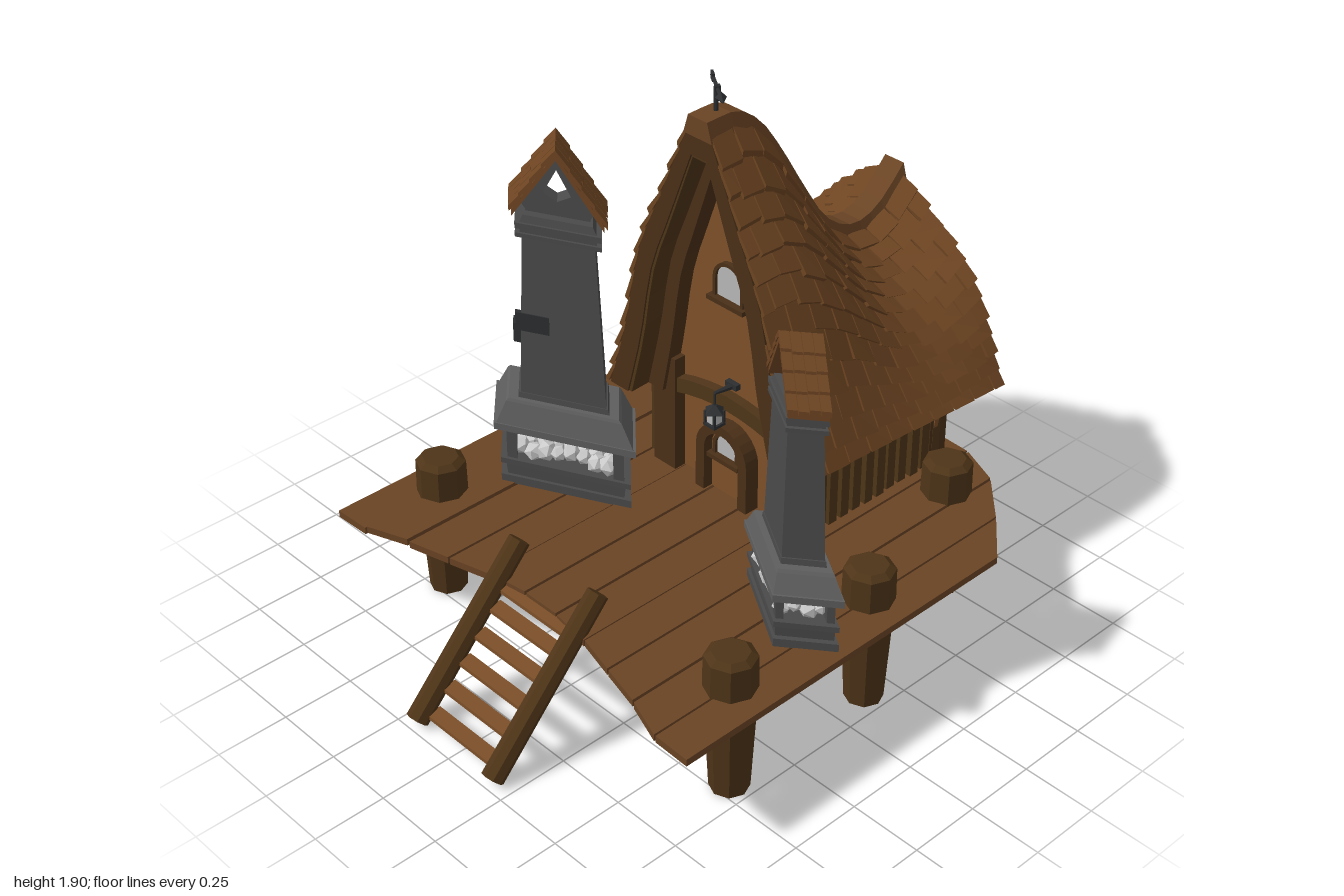
import * as THREE from 'three';
import { mergeGeometries } from 'three/addons/utils/BufferGeometryUtils.js';

const C = { deck: 0x6a4424, post: 0x4e3418, trim: 0x4a3018, wall: 0x7d5029, tile: 0x6e4522, stone: 0x4a4a4a, hood: 0x5e5e5e, iron: 0x2c2e30, glass: 0xb8b8b8 };
let seed = 7;
const rnd = () => (seed = (seed * 16807) % 2147483647) / 2147483647;
const lerp = THREE.MathUtils.lerp;
const V = (x, y, z) => new THREE.Vector3(x, y, z);

function add(parent, name, geo, color) {
  const g = Array.isArray(geo) ? mergeGeometries(geo.map(a => a.index ? a.toNonIndexed() : a)) : geo;
  const mat = new THREE.MeshStandardMaterial({ color, flatShading: true });
  const m = new THREE.Mesh(g, mat);
  m.name = name;
  parent.add(m);
  return m;
}

// solid from a bottom quad and a top quad, turned outward automatically
function hex(c) {
  const e = i => c[i].clone().sub(c[0]);
  if (e(1).cross(e(3)).dot(e(4)) < 0) c = [...c.slice(4), ...c.slice(0, 4)];
  const pos = [];
  for (const [a, b, d, f] of [[0, 3, 2, 1], [4, 5, 6, 7], [0, 1, 5, 4], [1, 2, 6, 5], [2, 3, 7, 6], [3, 0, 4, 7]])
    for (const i of [a, b, d, a, d, f]) pos.push(...c[i].toArray());
  const g = new THREE.BufferGeometry();
  g.setAttribute('position', new THREE.Float32BufferAttribute(pos, 3));
  g.setAttribute('uv', new THREE.Float32BufferAttribute(new Array(72).fill(0), 2));
  g.computeVertexNormals();
  return g;
}
const box = (w, h, d, x, y, z) => new THREE.BoxGeometry(w, h, d).translate(x, y, z);
function rod(a, b, r0, r1, n = 8) {
  const d = b.clone().sub(a), g = new THREE.CylinderGeometry(r1, r0, d.length(), n);
  g.applyQuaternion(new THREE.Quaternion().setFromUnitVectors(V(0, 1, 0), d.clone().normalize()));
  return g.translate(...a.clone().add(b).multiplyScalar(0.5).toArray());
}
function frustum(y0, y1, s0, s1) {
  const q = (y, s) => [[-1, -1], [-1, 1], [1, 1], [1, -1]].map(([a, b]) => V(a * s, y, b * s));
  return hex([...q(y0, s0), ...q(y1, s1)]);
}
function table(pts, v) {
  for (let i = 1; i < pts.length; i++)
    if (v <= pts[i][0]) return lerp(pts[i - 1][1], pts[i][1], (v - pts[i - 1][0]) / (pts[i][0] - pts[i - 1][0]));
  return pts.at(-1)[1];
}
function arch(w, h, Type = THREE.Shape) {
  const s = new Type();
  s.moveTo(-w, 0); s.lineTo(w, 0); s.lineTo(w, h - w);
  s.absarc(0, h - w, w, 0, Math.PI, false);
  s.lineTo(-w, 0);
  return s;
}
const extrude = (s, depth) => new THREE.ExtrudeGeometry(s, { depth, bevelEnabled: false, curveSegments: 6 });

// roof surface: s = side, t = ridge to eave, z = depth, f/g = scale across and up
const EAVE = 0.69, CX = -0.02;
const curve = pts => new THREE.CatmullRomCurve3(pts.map(p => V(p[0], p[1], 0)));
const ridgePts = curve([[.07, 1.77], [.2, 1.765], [.3, 1.69], [.4, 1.55], [.5, 1.39], [.6, 1.25], [.7, 1.185], [.78, 1.18], [.86, 1.22], [.95, 1.31], [1, 1.36]]).getPoints(60).map(p => [p.x, p.y]);
const ridgeY = z => table(ridgePts, -z);
const frontCurve = curve([[.1, 1], [.4, .74], [.65, .52], [.81, .24], [1, 0]]);
const backCurve = curve([[.1, 1], [.43, .79], [.72, .56], [.89, .28], [1, 0]]);
function roofPt(s, t, z, f = 1, g = 1) {
  t = Math.min(t, 1);
  const k = THREE.MathUtils.clamp((-z - 0.07) / 0.6, 0, 1);
  const p = frontCurve.getPoint(t).lerp(backCurve.getPoint(t), k);
  return V(CX + s * p.x * f * lerp(0.41, 0.46, (-z - 0.07) / 0.9), EAVE + (ridgeY(z) - EAVE) * p.y * g, z);
}
const roofZ = (v, t) => -0.075 - v * (0.875 + 0.045 * t);

// curved solid between an outer and an inner roof outline
function roofBand(zAt, steps, [f0, g0], [f1, g1]) {
  const out = [], N = 10;
  for (let j = 0; j < steps; j++) {
    const quad = (s, t, f, g) => [j, j + 1].map(i => roofPt(s, t, zAt(i / steps, t), f, g));
    for (const s of [-1, 1]) for (let i = 0; i < N; i++) {
      const a = i / N, b = (i + 1) / N, [p, q] = quad(s, a, f1, g1), [r, u] = quad(s, b, f1, g1);
      const [P, Q] = quad(s, a, f0, g0), [R, U] = quad(s, b, f0, g0);
      out.push(hex([p, r, u, q, P, R, U, Q]));
    }
    const a = [[-1, f1, g1], [1, f1, g1], [-1, f0, g0], [1, f0, g0]].map(([s, f, g]) => quad(s, 0, f, g));
    out.push(hex([a[0][0], a[1][0], a[1][1], a[0][1], a[2][0], a[3][0], a[3][1], a[2][1]]));
  }
  return out;
}

function buildRoof(g) {
  add(g, 'roofShell', roofBand(roofZ, 16, [1, 1], [0.8, 0.91]), C.trim);
  const tiles = [], rows = 12, cols = 10;
  for (const s of [-1, 1]) for (let r = 0; r < rows; r++) {
    const off = (r % 2) * 0.5;
    for (let c = 0; c <= cols; c++) {
      const v0 = Math.max(0, (c - off) / cols + 0.002), v1 = Math.min(1, (c + 1 - off) / cols - 0.004);
      if (v1 - v0 < 0.01) continue;
      const t0 = r / rows, t1 = (r + 1.08 + rnd() * 0.28) / rows, j = rnd() * 0.01;
      const P = (t, v, h) => roofPt(s, t, roofZ(v, t), 1 + 2 * h, 1 + h);
      const lay = (a, b) => [P(t0, v0, a), P(t1, v0, b), P(t1, v1, b), P(t0, v1, a)];
      tiles.push(hex([...lay(-0.005, 0.012), ...lay(0.008, 0.028 + j)]));
    }
  }
  add(g, 'roofShingles', tiles, C.tile);
  // ridge cap
  const cap = [], n = 18;
  for (let i = 0; i < n; i++) {
    const q = (v, w, h) => { const z = -0.07 - v * 0.885; return [V(CX - w, ridgeY(z) + h, z), V(CX + w, ridgeY(z) + h, z)]; };
    const a = i / n, b = (i + 1) / n, [p0, p1] = q(a, 0.06, -0.03), [q0, q1] = q(b, 0.06, -0.03), [r0, r1] = q(a, 0.04, 0.035), [u0, u1] = q(b, 0.04, 0.035);
    cap.push(hex([p0, p1, q1, q0, r0, r1, u1, u0]));
  }
  add(g, 'ridgeCap', cap, C.deck);
}

function windowAt(g, name, x, y, z, dir, w, h) {
  const grp = new THREE.Group();
  grp.name = name;
  const frame = arch(w + 0.012, h + 0.012);
  frame.holes.push(arch(w, h, THREE.Path));
  add(grp, 'windowFrame', [extrude(frame, 0.02), box(2 * w + 0.05, 0.016, 0.04, 0, -0.004, 0.015)], C.trim);
  add(grp, 'windowGlass', extrude(arch(w, h), 0.01), C.glass);
  grp.position.set(x, y, z);
  if (dir < 0) grp.rotation.y = Math.PI;
  g.add(grp);
}

function buildHouse(g) {
  for (const [name, z, dir] of [['front', -0.23, 1], ['back', -0.83, -1]]) {
    // gable wall following the inside of the roof
    const side = s => Array.from({ length: 11 }, (_, i) => roofPt(s, i / 10, z, 0.82, 0.92)).map(p => new THREE.Vector2(p.x, p.y));
    const pts = [new THREE.Vector2(-0.335, 0.39), new THREE.Vector2(0.315, 0.39), ...side(1).reverse(), ...side(-1)];
    add(g, name + 'Wall', extrude(new THREE.Shape(pts), 0.02).translate(0, 0, z - 0.01), C.wall);
    const at = (a, b) => v => z + dir * lerp(a, b, v);
    add(g, name + 'InnerFrame', roofBand(at(0.0, 0.07), 1, [0.82, 0.92], [0.61, 0.83]), C.trim);
    add(g, name + 'BargeBoard', roofBand(at(0.06, dir > 0 ? 0.148 : 0.118), 1, [1, 1], [0.77, 0.9]), C.post);
    // posts and curved lintel
    add(g, name + 'Posts', [-1, 1].map(s => box(0.1, 0.43, 0.08, s * 0.28, 0.605, z + dir * 0.015)), C.trim);
    const beam = [], n = 8, by = x => 0.69 + 0.04 * (1 - (x / 0.24) ** 2);
    for (let i = 0; i < n; i++) {
      const q = zz => [[i, 0], [i + 1, 0], [i + 1, 0.055], [i, 0.055]].map(([k, h]) => { const x = -0.24 + 0.48 * k / n; return V(x, by(x) + h, zz); });
      beam.push(hex([...q(z), ...q(z + dir * 0.045)]));
    }
    add(g, name + 'Lintel', beam, C.post);
  }
  // plank side walls
  for (const s of [-1, 1]) {
    const planks = [box(0.02, 0.36, 0.6, CX + s * 0.322, 0.56, -0.53)];
    for (let i = 0; i < 12; i++) planks.push(box(0.03 + rnd() * 0.02, 0.36, 0.036, CX + s * 0.335, 0.56, -0.225 - i * 0.0555));
    add(g, s > 0 ? 'leftPlankWall' : 'rightPlankWall', planks, C.post);
  }
  windowAt(g, 'upperFrontWindow', CX, 1.12, -0.222, 1, 0.055, 0.125);
  windowAt(g, 'upperBackWindow', CX, 0.89, -0.838, -1, 0.05, 0.12);
  windowAt(g, 'lowerBackWindow', CX, 0.53, -0.838, -1, 0.05, 0.11);
  // arched door
  const frame = arch(0.116, 0.285);
  frame.holes.push(arch(0.078, 0.25, THREE.Path));
  add(g, 'doorFrame', extrude(frame, 0.06).translate(-0.005, 0.39, -0.225), C.trim);
  add(g, 'door', extrude(arch(0.08, 0.25), 0.02).translate(-0.005, 0.39, -0.222), C.wall);
  windowAt(g, 'doorWindow', -0.005, 0.54, -0.204, 1, 0.045, 0.085);
  // lantern on a bracket
  const lz = -0.13;
  add(g, 'lanternIron', [rod(V(0, 0.815, -0.22), V(0, 0.825, lz), 0.012, 0.006, 6), box(0.05, 0.02, 0.02, 0, 0.82, -0.21),
    rod(V(0, 0.825, lz), V(0, 0.77, lz), 0.004, 0.004, 5), rod(V(0, 0.755, lz), V(0, 0.78, lz), 0.04, 0.008, 4), box(0.05, 0.01, 0.05, 0, 0.71, lz),
    ...[[-1, -1], [1, -1], [-1, 1], [1, 1]].map(([a, b]) => box(0.007, 0.05, 0.007, a * 0.021, 0.735, lz + b * 0.021))], C.iron);
  add(g, 'lanternGlass', box(0.034, 0.044, 0.034, 0, 0.735, lz), C.glass);
  // weather vane
  const arrow = [rod(V(-0.09, 0, 0), V(0.07, 0, 0), 0.006, 0.006, 6), rod(V(0.06, 0, 0), V(0.1, 0, 0), 0.018, 0.001, 4), box(0.03, 0.026, 0.008, -0.08, 0, 0), box(0.018, 0.018, 0.018, 0, 0, 0)];
  const vane = add(g, 'weatherVaneArrow', arrow, C.iron);
  vane.position.set(CX + 0.005, 1.88, -0.145);
  vane.rotation.y = -0.6;
  add(g, 'weatherVanePole', rod(V(CX, 1.78, -0.145), V(CX, 1.89, -0.145), 0.008, 0.007, 6), C.iron);
}

// stone fire chimney on a slanted footprint: ex, ez are the half edges
function chimney(g, name, [cx, cz], ex, ez, [hood, shaft, collar, eave, top], plates) {
  const grp = new THREE.Group();
  grp.name = name;
  g.add(grp);
  const M = new THREE.Matrix4().set(ex[0], 0, ez[0], cx, 0, 1, 0, 0, ex[1], 0, ez[1], cz, 0, 0, 0, 1);
  const put = (n, geos, color) => add(grp, n, geos, color).geometry.applyMatrix4(M);
  put('fireTray', [frustum(0.39, 0.42, 0.98, 0.98), frustum(0.42, 0.465, 0.88, 0.9), frustum(0.465, 0.485, 0.98, 0.98)], C.stone);
  const legs = [];
  for (const x of [-0.8, 0.8]) for (const z of [-0.76, 0.76]) legs.push(box(0.16, hood - 0.47, 0.24, x, (hood + 0.47) / 2, z));
  put('firePillars', legs, C.stone);
  put('hood', [frustum(hood, hood + 0.025, 1.06, 1.06), frustum(hood + 0.025, shaft - 0.015, 1.02, 0.86), frustum(shaft - 0.015, shaft - 0.005, 0.86, 0.82)], C.hood);
  put('shaft', [frustum(shaft - 0.01, collar, 0.64, 0.525), frustum(shaft - 0.01, shaft + 0.015, 0.68, 0.66), frustum(collar, collar + 0.015, 0.62, 0.62), frustum(collar + 0.015, collar + 0.03, 0.55, 0.55), frustum(collar + 0.03, collar + 0.05, 0.62, 0.62), frustum(collar + 0.05, collar + 0.075, 0.55, 0.5)], C.stone);
  put('shaftPlates', plates.map(p => box(...p)), C.iron);
  // pierced gable under a little shingled roof
  const b = collar + 0.05, s = new THREE.Shape([[-0.5, b], [0.5, b], [0.46, b + 0.03], [0.58, eave + 0.02], [0, top - 0.025], [-0.58, eave + 0.02], [-0.46, b + 0.03]].map(p => new THREE.Vector2(...p)));
  const hy = lerp(eave, top, 0.22);
  s.holes.push(new THREE.Path([[-0.2, hy], [0, hy + 0.085], [0.2, hy], [0, hy - 0.025]].map(p => new THREE.Vector2(...p))));
  put('gable', extrude(s, 0.5).translate(0, 0, -0.25), C.stone);
  const tiles = [], rows = 4, cols = 4;
  for (const sd of [-1, 1]) {
    const P = (t, z, h) => V(sd * 0.68 * t, lerp(top, eave, t) + h, z);
    const slab = (t0, t1, z0, z1, l0, l1, th) => tiles.push(hex([P(t0, z0, l0 - th), P(t1, z0, l1 - th), P(t1, z1, l1 - th), P(t0, z1, l0 - th), P(t0, z0, l0), P(t1, z0, l1), P(t1, z1, l1), P(t0, z1, l0)]));
    slab(0, 0.97, -0.6, 0.6, -0.015, -0.015, 0.022);
    for (let r = 0; r < rows; r++) for (let c = 0; c < cols; c++) {
      const z0 = -0.64 + 1.28 * c / cols, t1 = (r + 1.05 + rnd() * 0.18) / rows;
      slab(r / rows, t1, z0 + 0.01, z0 + 1.28 / cols - 0.01, 0, 0.012, 0.02);
    }
  }
  put('chimneyRoof', tiles, C.tile);
  // pale coals, kept round on the slanted footprint
  const coals = [];
  for (let i = 0; i < 32; i++) {
    const x = -0.66 + 1.32 * ((i % 8) / 7), z = -0.6 + 0.4 * Math.floor(i / 8) + (rnd() - 0.5) * 0.15;
    const r = 0.026 + rnd() * 0.012, p = V(x, 0.49 + rnd() * 0.02 + 0.02 * (1 - x * x), z).applyMatrix4(M);
    coals.push(new THREE.IcosahedronGeometry(r, 0).rotateY(rnd() * 3).translate(p.x, p.y, p.z));
  }
  add(grp, 'coals', coals, 0xcccccc);
}

export function createModel() {
  const g = new THREE.Group();
  g.name = 'stiltHouse';
  // deck planks with stepped ends
  const zf = [[0, .6], [.225, .63], [.375, .67], [.53, .71], [.68, .765], [.82, .77]], zb = [[0, -.97], [.375, -.955], [.53, -.89], [.68, -.74], [.82, -.58]];
  const planks = [], edges = [-.822, -.68, -.53, -.375, -.225, -.0725, .0725, .225, .375, .53, .68, .822];
  for (let i = 0; i < 11; i++) {
    const a = edges[i] + 0.004, b = edges[i + 1] - 0.004, j = (rnd() - 0.5) * 0.01;
    const q = y => [V(a, y, table(zf, Math.abs(a))), V(b, y, table(zf, Math.abs(b))), V(b, y, table(zb, Math.abs(b))), V(a, y, table(zb, Math.abs(a)))];
    planks.push(hex([...q(0.365 + j), ...q(0.39 + j)]));
  }
  add(g, 'deckPlanks', planks, C.deck);
  // stilts
  for (const s of [-1, 1]) for (const [x, z] of [[.675, .455], [.675, -.14], [.47, -.735]])
    add(g, 'stilt', [rod(V(s * x, 0, z), V(s * x, 0.38, z), 0.064, 0.083), rod(V(s * x, 0.38, z), V(s * x, 0.505, z), 0.085, 0.083), rod(V(s * x, 0.505, z), V(s * x, 0.522, z), 0.083, 0.06)], C.post);
  // ladder
  for (const s of [-1, 1]) add(g, 'ladderRail', rod(V(s * 0.183, 0.022, 0.975), V(s * 0.183, 0.495, 0.535), 0.038, 0.036), C.post);
  add(g, 'ladderRungs', [.04, .11, .18, .25, .32, .37].map(y => box(0.32, 0.014, 0.054, 0, y, 0.965 - 0.93 * y)), C.wall);
  buildHouse(g);
  buildRoof(g);
  chimney(g, 'largeChimney', [-0.457, 0.105], [0.209, -0.104], [0.088, 0.079], [0.6, 0.72, 1.31, 1.41, 1.635], [[0.5, 0.065, 0.16, -0.42, 1, 0.53], [0.16, 0.07, 0.4, -0.64, 0.925, 0]]);
  chimney(g, 'smallChimney', [0.564, 0.085], [0.152, 0.095], [-0.08, 0.062], [0.57, 0.67, 1.13, 1.215, 1.405], [[0.16, 0.07, 0.4, -0.64, 0.8, 0.2]]);
  return g;
}
